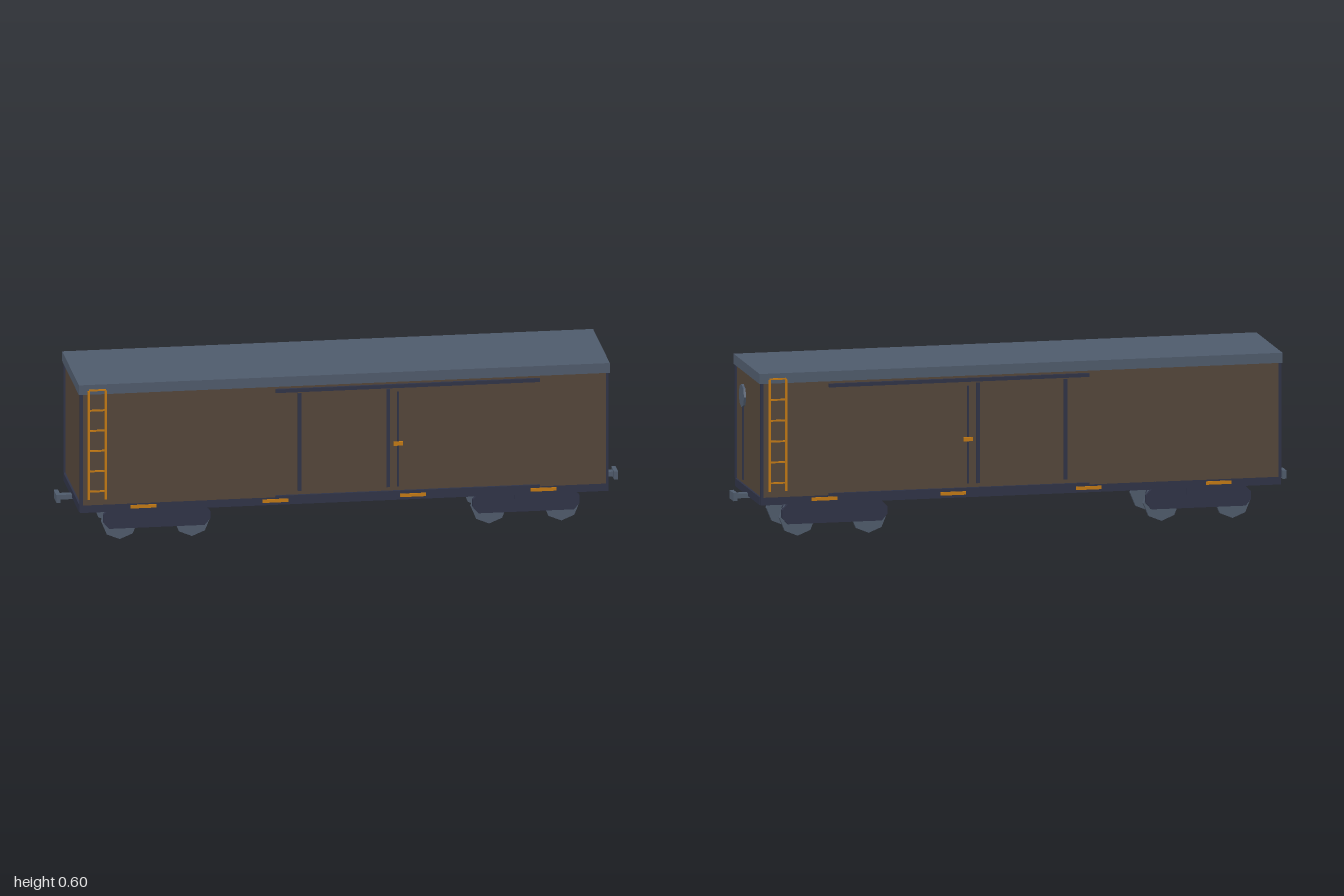
import * as THREE from 'three';

const mat = (name, color) => {
  const m = new THREE.MeshStandardMaterial({ color });
  m.name = name;
  return m;
};

export function createModel() {
  const brown = mat('wall brown', 0x54463a);
  const slate = mat('slate grey', 0x4f5b6c);
  const navy = mat('frame navy', 0x2f3347);
  const orange = mat('safety orange', 0xc47a12);

  const root = new THREE.Group();
  root.name = 'boxcar';

  const add = (parent, name, geo, material) => {
    const mesh = new THREE.Mesh(geo, material);
    mesh.name = name;
    parent.add(mesh);
    return mesh;
  };
  // Box given by its low and high corners
  const box = (parent, name, material, x0, x1, y0, y1, z0, z1) => {
    const m = add(parent, name, new THREE.BoxGeometry(x1 - x0, y1 - y0, z1 - z0), material);
    m.position.set((x0 + x1) / 2, (y0 + y1) / 2, (z0 + z1) / 2);
    return m;
  };
  // Flat-sided eight-sided disc, axis along z
  const octagon = (r, depth) => new THREE.CylinderGeometry(r, r, depth, 8).toNonIndexed().rotateX(Math.PI / 2);

  // Body shell and roof
  box(root, 'body', brown, -0.935, 0.935, 0.152, 0.566, -0.201, 0.201);
  box(root, 'roof', slate, -0.945, 0.945, 0.566, 0.602, -0.207, 0.207);

  // Underframe
  for (const s of [-1, 1]) {
    box(root, 'sideSill', navy, -0.94, 0.94, 0.13, 0.158, s * 0.196 - 0.007, s * 0.196 + 0.007);
    box(root, 'endSill', navy, s * 0.932 - 0.01, s * 0.932 + 0.01, 0.13, 0.158, -0.189, 0.189);
  }
  box(root, 'centreSill', navy, -0.922, 0.922, 0.131, 0.153, -0.04, 0.04);

  // Long sides
  for (const s of [-1, 1]) {
    const side = new THREE.Group();
    side.name = s > 0 ? 'frontSide' : 'backSide';
    root.add(side);
    const plate = (name, m, x0, x1, y0, y1, zIn, zOut) =>
      box(side, name, m, x0, x1, y0, y1, Math.min(s * zIn, s * zOut), Math.max(s * zIn, s * zOut));

    // Wall panels stepping in towards the middle
    for (const e of [-1, 1]) {
      [[0.66, 0.932, 0.2055], [0.485, 0.66, 0.2042], [0.32, 0.485, 0.2029]].forEach(([a, b, z]) =>
        plate('wallPanel', brown, Math.min(e * a, e * b), Math.max(e * a, e * b), 0.158, 0.566, 0.2, z));
      plate('cornerPost', navy, e * 0.936 - 0.005, e * 0.936 + 0.005, 0.158, 0.566, 0.196, 0.2075);
    }
    plate('doorSurround', brown, -0.32, 0.32, 0.158, 0.566, 0.2, 0.2042);
    plate('door', brown, -0.225, 0.225, 0.167, 0.545, 0.2, 0.2055);

    // Door tracks, posts and latch
    plate('upperTrack', navy, -0.245, 0.695, 0.545, 0.558, 0.203, 0.214);
    plate('lowerTrack', navy, -0.245, 0.695, 0.158, 0.166, 0.203, 0.214);
    for (const x of [-0.16, 0.156]) plate('doorPost', navy, x - 0.006, x + 0.006, 0.18, 0.54, 0.205, 0.211);
    plate('latchRod', navy, 0.188, 0.195, 0.18, 0.53, 0.205, 0.209);
    plate('latch', orange, 0.175, 0.208, 0.332, 0.346, 0.205, 0.213);

    // Orange markers on the sill
    for (const x of [-0.715, -0.245, 0.245, 0.71])
      plate('sillMarker', orange, x - 0.046, x + 0.046, 0.14, 0.152, 0.202, 0.207);

    // Ladder at diagonally opposite corners
    const cx = -0.88 * s;
    for (const d of [-0.03, 0.03])
      plate('ladderRail', orange, cx + d - 0.004, cx + d + 0.004, 0.18, 0.58, 0.208, 0.214);
    for (let i = 0; i < 6; i++) {
      const y = 0.21 + i * 0.0745;
      plate('ladderRung', orange, cx - 0.03, cx + 0.03, y - 0.003, y + 0.003, 0.209, 0.213);
    }
  }

  // Signal disc and pole on one end
  const disc = add(root, 'endDisc', octagon(0.042, 0.008).rotateY(Math.PI / 2), slate);
  disc.geometry.computeVertexNormals();
  disc.position.set(0.94, 0.473, 0.086);
  box(root, 'endDiscPole', navy, 0.933, 0.941, 0.172, 0.432, 0.082, 0.09);

  // Couplers
  for (const e of [-1, 1]) {
    const coupler = new THREE.Group();
    coupler.name = 'coupler';
    coupler.rotation.y = e > 0 ? 0 : Math.PI;
    box(coupler, 'couplerShaft', slate, 0.93, 0.985, 0.124, 0.141, -0.013, 0.013);
    box(coupler, 'couplerHead', slate, 0.985, 1.0, 0.118, 0.147, -0.033, 0.033);
    root.add(coupler);
  }

  // Bogies
  const frameShape = new THREE.Shape([
    [-0.19, 0.07], [-0.17, 0.047], [0.17, 0.047], [0.19, 0.07], [0.19, 0.098], [0.17, 0.118], [-0.17, 0.118], [-0.19, 0.098],
  ].map(([x, y]) => new THREE.Vector2(x, y)));
  const frameGeo = new THREE.ExtrudeGeometry(frameShape, { depth: 0.017, bevelEnabled: false });
  const wheelGeo = octagon(0.065, 0.0175);
  wheelGeo.computeVertexNormals();
  const axleGeo = octagon(0.011, 0.19);
  axleGeo.computeVertexNormals();

  for (const bx of [-0.6575, 0.6575]) {
    const bogie = new THREE.Group();
    bogie.name = 'bogie';
    bogie.position.x = bx;
    root.add(bogie);
    box(bogie, 'bolster', navy, -0.043, 0.043, 0.095, 0.132, -0.142, 0.142);
    for (const s of [-1, 1]) {
      add(bogie, 'sideFrame', frameGeo, navy).position.z = s * 0.1295 - 0.0085;
      box(bogie, 'springBox', navy, -0.04, 0.04, 0.09, 0.118, s * 0.13 - 0.0095, s * 0.13 + 0.0095);
    }
    for (const wx of [-0.1285, 0.1285]) {
      add(bogie, 'axle', axleGeo, navy).position.set(wx, 0.066, 0);
      for (const s of [-1, 1]) add(bogie, 'wheel', wheelGeo, slate).position.set(wx, 0.065, s * 0.1035);
    }
  }
  return root;
}
